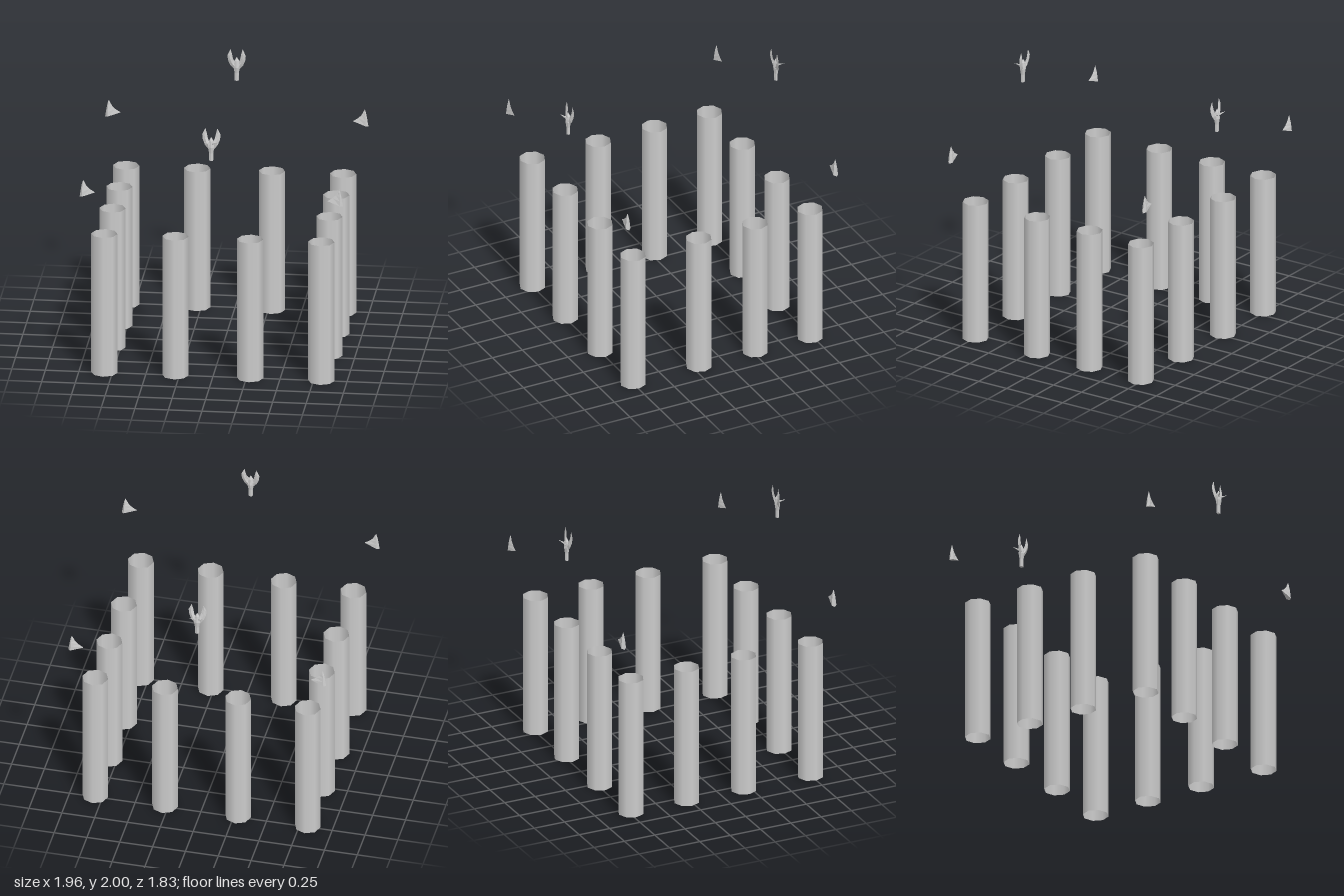
import * as THREE from 'three';

const smooth = new THREE.MeshStandardMaterial({ color: 0xcccccc, side: THREE.DoubleSide });
const faceted = new THREE.MeshStandardMaterial({ color: 0xcccccc, side: THREE.DoubleSide, flatShading: true });

function mesh(name, geometry, material) {
  const m = new THREE.Mesh(geometry, material);
  m.name = name;
  return m;
}

// Blade with diamond sections; each row is [outerX, outerY, innerX, innerY, z, halfWidth, ridge],
// where ridge tells how far from the outer edge the thickest line lies.
function blade(rows) {
  const pos = [], index = [];
  for (const [ox, oy, ix, iy, z, w, t] of rows) {
    const mx = ox + (ix - ox) * t, my = oy + (iy - oy) * t;
    pos.push(ox, oy, z, mx, my, z + w, ix, iy, z, mx, my, z - w);
  }
  for (let i = 0; i < rows.length - 1; i++) {
    for (let j = 0; j < 4; j++) {
      const a = i * 4 + j, b = i * 4 + (j + 1) % 4, c = b + 4, d = a + 4;
      index.push(a, d, c, a, c, b);
    }
  }
  index.push(0, 1, 2, 0, 2, 3);
  const g = new THREE.BufferGeometry();
  g.setAttribute('position', new THREE.Float32BufferAttribute(pos, 3));
  g.setIndex(index);
  g.computeVertexNormals();
  return g;
}

// Thin cone from one point to another
function spike(from, to, radius) {
  const a = new THREE.Vector3(...from), dir = new THREE.Vector3(...to).sub(a);
  const g = new THREE.ConeGeometry(radius, dir.length(), 4);
  g.translate(0, dir.length() / 2, 0);
  g.applyQuaternion(new THREE.Quaternion().setFromUnitVectors(new THREE.Vector3(0, 1, 0), dir.normalize()));
  g.translate(a.x, a.y, a.z);
  return g;
}

// Gable ornament: stem with two crescent horns and two forward spikes
function createFinial() {
  const group = new THREE.Group();
  group.name = 'finial';
  const profile = [[0, 1.75], [0.017, 1.75], [0.018, 1.81], [0.027, 1.855], [0.018, 1.905], [0, 1.935]];
  const stem = new THREE.LatheGeometry(profile.map(p => new THREE.Vector2(...p)), 6);
  stem.scale(1, 1, 0.8);
  group.add(mesh('stem', stem, faceted));

  const horn = blade([
    [0.018, 1.835, 0.002, 1.88, 0, 0.013, 0.5],
    [0.048, 1.87, 0.02, 1.905, -0.006, 0.01, 0.5],
    [0.064, 1.91, 0.028, 1.93, -0.012, 0.008, 0.5],
    [0.069, 1.95, 0.034, 1.96, -0.015, 0.005, 0.5],
    [0.045, 2, 0.045, 2, -0.014, 0, 0.5],
  ]);
  for (const side of [-1, 1]) {
    const h = mesh(side > 0 ? 'leftHorn' : 'rightHorn', horn, faceted);
    h.scale.x = side;
    group.add(h);
    group.add(mesh(side > 0 ? 'leftSpike' : 'rightSpike',
      spike([side * 0.006, 1.88, 0.004], [side * 0.05, 1.905, 0.045], 0.01), faceted));
  }
  return group;
}

export function createModel() {
  const model = new THREE.Group();
  model.name = 'colonnade';

  // Hollow eight-sided columns around the edge of a rectangle
  const height = 1.095;
  const column = new THREE.CylinderGeometry(0.098, 0.098, height, 8, 1, true);
  const xs = [-0.81, -0.28, 0.277, 0.808], zs = [-0.733, -0.274, 0.196, 0.746];
  xs.forEach((x, i) => zs.forEach((z, j) => {
    if (i % 3 && j % 3) return;
    const c = mesh('column', column, smooth);
    c.position.set(x, height / 2, z);
    model.add(c);
  }));

  // Eave fins at the four corners, finials in the middle of front and back
  const fin = blade([
    [0.982, 1.425, 0.865, 1.462, 0, 0.019, 0.15],
    [0.976, 1.462, 0.905, 1.487, 0, 0.016, 0.2],
    [0.971, 1.495, 0.93, 1.512, 0, 0.012, 0.25],
    [0.964, 1.53, 0.942, 1.535, 0, 0.007, 0.35],
    [0.955, 1.558, 0.955, 1.558, 0, 0, 0.5],
  ]);
  for (const front of [-1, 1]) {
    const finial = createFinial();
    finial.position.z = front * 0.868;
    finial.scale.z = front;
    model.add(finial);
    for (const side of [-1, 1]) {
      const f = mesh('eaveFin', fin, faceted);
      f.position.z = front * 0.867;
      f.scale.x = side;
      model.add(f);
    }
  }
  return model;
}
